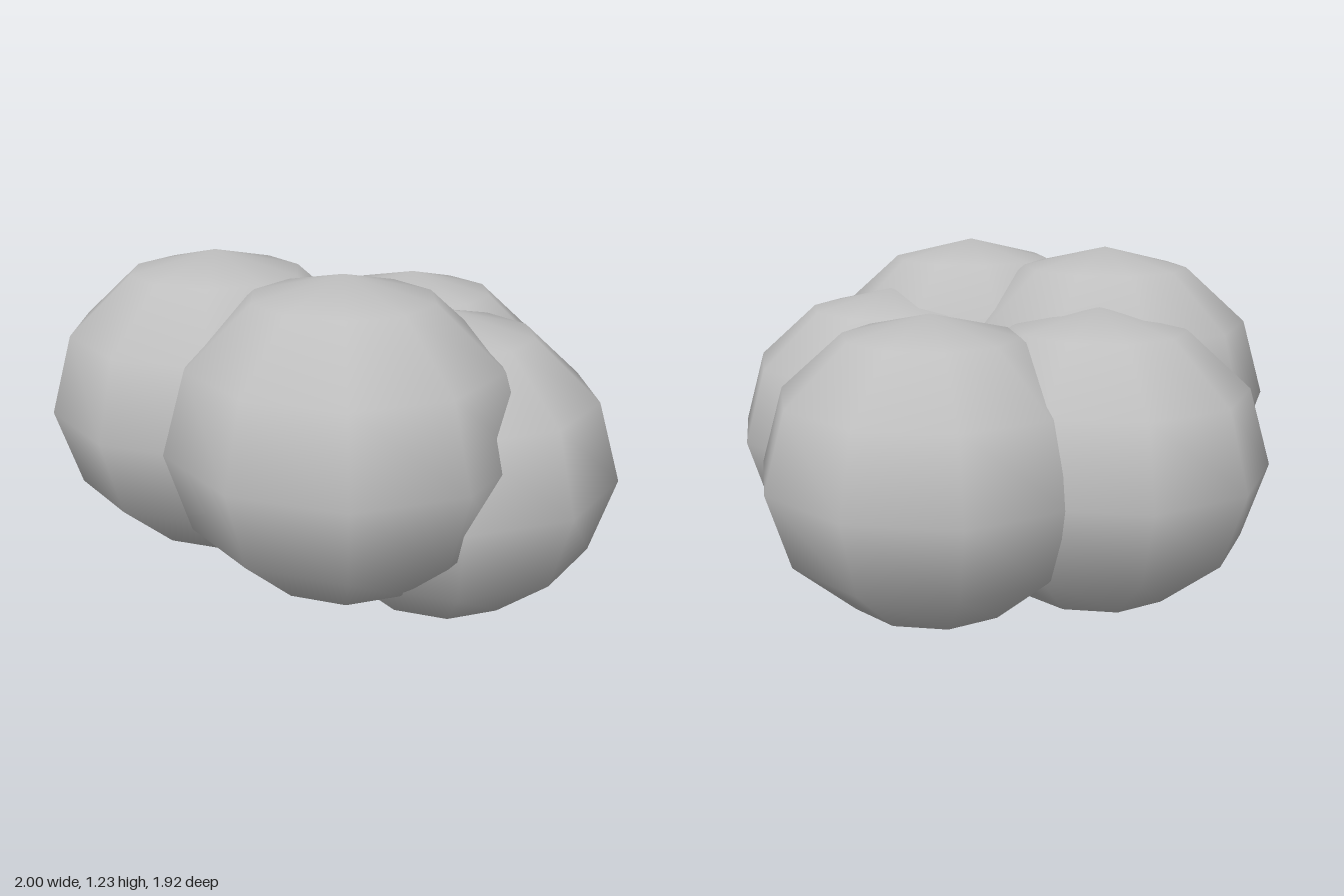
import * as THREE from 'three';

export function createModel() {
  const group = new THREE.Group();
  group.name = 'ballCluster';
  const grey = new THREE.MeshStandardMaterial({ color: 0xbfbfbf });
  grey.name = 'light grey';

  // One ten-sided smooth ball, turned so corners point along z, slightly flattened
  const ball = new THREE.SphereGeometry(1, 10, 6);
  ball.rotateY(Math.PI / 2);
  ball.scale(0.6, 0.532, 0.575);

  // Two raised balls in front, three lower ones at the sides and back
  const balls = [
    ['frontRightBall', -0.32, 0.697, 0.33],
    ['frontLeftBall', 0.257, 0.697, 0.383],
    ['rightBall', -0.43, 0.535, -0.035],
    ['leftBall', 0.43, 0.535, 0.04],
    ['backBall', 0.032, 0.535, -0.387],
  ];
  for (const [name, x, y, z] of balls) {
    const mesh = new THREE.Mesh(ball, grey);
    mesh.name = name;
    mesh.position.set(x, y, z);
    group.add(mesh);
  }
  return group;
}
